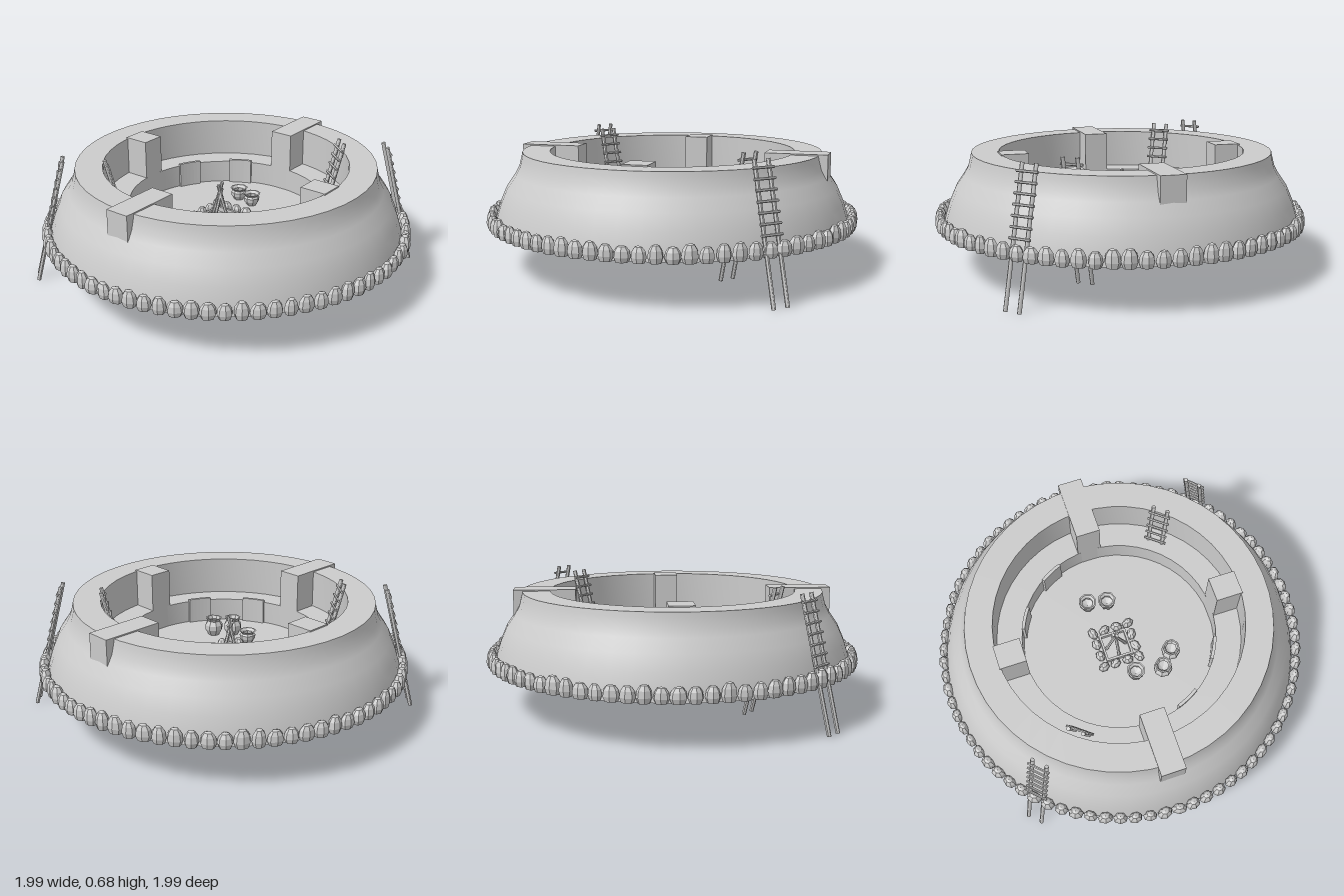
import * as THREE from 'three';
import { toCreasedNormals } from 'three/addons/utils/BufferGeometryUtils.js';

const smooth = new THREE.MeshStandardMaterial({ color: 0xcccccc });
const faceted = new THREE.MeshStandardMaterial({ color: 0xcccccc, flatShading: true });
const facetedOpen = new THREE.MeshStandardMaterial({ color: 0xcccccc, flatShading: true, side: THREE.DoubleSide });

const CX = -0.006, BASE = 0.235, FLOOR = 0.295, BENCH = 0.42, TOP = 0.625;

let seed = 7;
const rand = () => (seed = (seed * 16807) % 2147483647) / 2147483647;

function add(parent, name, geometry, material, x = 0, y = 0, z = 0) {
  const mesh = new THREE.Mesh(geometry, material);
  mesh.name = name;
  mesh.position.set(x, y, z);
  parent.add(mesh);
  return mesh;
}

const lathe = (pairs, sides) =>
  new THREE.LatheGeometry(pairs.map(([r, y]) => new THREE.Vector2(r, y)), sides);

// Round pole between two points
function pole(parent, name, a, b, radius) {
  const length = a.distanceTo(b);
  const mesh = add(parent, name, new THREE.CylinderGeometry(radius, radius, length, 6), smooth);
  mesh.geometry = toCreasedNormals(mesh.geometry, 1.2);
  mesh.position.copy(a).lerp(b, 0.5);
  mesh.quaternion.setFromUnitVectors(new THREE.Vector3(0, 1, 0), b.clone().sub(a).normalize());
  return mesh;
}

// Ladder centred on foot -> head, with rails set apart along `across`
function ladder(name, foot, head, across) {
  const g = new THREE.Group();
  g.name = name;
  const side = across.clone().normalize();
  for (const s of [-1, 1]) {
    const o = side.clone().multiplyScalar(s * 0.039);
    pole(g, 'rail', foot.clone().add(o), head.clone().add(o), 0.011);
  }
  const front = new THREE.Vector3().crossVectors(side, head.clone().sub(foot)).normalize();
  if (front.y < 0) front.negate();
  for (let i = 0; i < 7; i++) {
    const p = foot.clone().lerp(head, 0.49 + i * 0.075).addScaledVector(front, 0.009);
    pole(g, 'rung', p.clone().addScaledVector(side, -0.06), p.clone().addScaledVector(side, 0.06), 0.007);
  }
  return g;
}

// Low-poly stone standing on y = 0
function stone(parent, name, x, y, z, turn, w, h, d) {
  const profile = [[0, 0], [0.75, 0], [1, 0.3], [0.88, 0.66], [0.5, 0.92], [0, 1]];
  const mesh = add(parent, name, lathe(profile, 7), faceted, x, y, z);
  mesh.scale.set(w, h, d);
  mesh.rotation.y = turn;
}

export function createModel() {
  const model = new THREE.Group();
  model.name = 'sunkenRoundHouse';

  // Sloping earth wall, bench and floor as one turned solid
  const wall = lathe([
    [0, BASE], [0.955, BASE], [0.94, 0.3], [0.918, 0.37], [0.885, 0.445], [0.84, 0.51],
    [0.818, 0.55], [0.805, 0.6], [0.8, TOP], [0.655, TOP], [0.655, BENCH],
    [0.52, BENCH], [0.52, FLOOR], [0, FLOOR],
  ], 48);
  add(model, 'wallBenchAndFloor', toCreasedNormals(wall, 0.6), smooth, CX);

  // Four pillars; the front and back ones run out through the wall
  const pillars = new THREE.Group();
  pillars.name = 'pillars';
  for (let i = 0; i < 4; i++) {
    const a = i * Math.PI / 2, outer = i % 2 ? 0.66 : 0.845, inner = 0.517;
    const r = (outer + inner) / 2, h = 0.632 - FLOOR + 0.01;
    const p = add(pillars, 'pillar', new THREE.BoxGeometry(0.13, h, outer - inner), smooth,
      CX + Math.sin(a) * r, 0.632 - h / 2, Math.cos(a) * r);
    p.rotation.y = a;
  }
  model.add(pillars);

  // Thin curved panels against the bench face
  const panels = new THREE.Group();
  panels.name = 'benchPanels';
  for (const deg of [28, 64, 208, 242]) {
    const a = deg * Math.PI / 180, s = 0.125;
    const shape = new THREE.Shape();
    shape.absarc(0, 0, 0.522, a - s, a + s, false);
    shape.absarc(0, 0, 0.505, a + s, a - s, true);
    shape.closePath();
    const geo = new THREE.ExtrudeGeometry(shape, { depth: 0.14, bevelEnabled: false, curveSegments: 3 });
    geo.rotateX(Math.PI / 2);
    add(panels, 'panel', geo, faceted, CX, 0.435, 0);
  }
  model.add(panels);

  // Ring of stones around the foot of the wall
  const ring = new THREE.Group();
  ring.name = 'footStones';
  const count = 78;
  for (let i = 0; i < count; i++) {
    const a = i / count * Math.PI * 2, r = 0.966;
    stone(ring, 'footStone', Math.sin(a) * r, BASE, Math.cos(a) * r, a + (rand() - 0.5) * 0.5,
      0.036 + rand() * 0.007, 0.078 + rand() * 0.018, 0.026 + rand() * 0.006);
  }
  model.add(ring);

  // Two outer and two inner ladders, each pair turned half round
  const V = (x, y, z) => new THREE.Vector3(x, y, z);
  for (const s of [1, -1]) {
    model.add(ladder('outerLadder', V(-0.733 * s, 0.005, 0.728 * s), V(-0.615 * s, 0.68, 0.603 * s), V(1, 0, 1)));
    model.add(ladder('innerLadder', V(-0.295 * s, 0.005, 0.375 * s), V(-0.4 * s, 0.68, 0.508 * s), V(1, 0, 0.8)));
  }

  // Hearth: square kerb, ring of stones and leaning logs
  const hearth = new THREE.Group();
  hearth.name = 'hearth';
  hearth.position.set(-0.03, FLOOR, 0.02);
  for (let i = 0; i < 4; i++) {
    const a = i * Math.PI / 2, c = Math.cos(a), s = Math.sin(a);
    const kerb = add(hearth, 'kerb', new THREE.BoxGeometry(0.15, 0.025, 0.012), smooth, s * 0.07, 0.0125, c * 0.07);
    kerb.rotation.y = a;
    for (const t of [-0.1, -0.035, 0.035])
      stone(hearth, 'hearthStone', s * 0.1 + c * t, 0, c * 0.1 - s * t, a + rand() - 0.5,
        0.031 + rand() * 0.005, 0.045 + rand() * 0.012, 0.025);
    pole(hearth, 'log', V(s * 0.055, 0, c * 0.055), V(-s * 0.015, 0.17 + i * 0.015, -c * 0.015), 0.009);
  }
  model.add(hearth);

  // Bowls and taller jars, hollow
  const bowl = [[0, 0], [0.026, 0], [0.042, 0.025], [0.044, 0.045], [0.036, 0.055],
    [0.05, 0.068], [0.042, 0.068], [0.03, 0.055], [0.034, 0.03], [0, 0.012]];
  const jar = [[0, 0], [0.03, 0], [0.05, 0.035], [0.05, 0.06], [0.035, 0.083],
    [0.046, 0.1], [0.038, 0.1], [0.028, 0.083], [0.04, 0.05], [0, 0.015]];
  for (const [x, z] of [[-0.105, -0.25], [0, -0.228], [0.02, 0.208]])
    add(model, 'bowl', lathe(bowl, 8), facetedOpen, x, FLOOR, z);
  for (const [x, z] of [[0.165, 0.235], [0.237, 0.155]])
    add(model, 'jar', lathe(jar, 8), facetedOpen, x, FLOOR, z).rotation.y = 0.3;

  return model;
}
